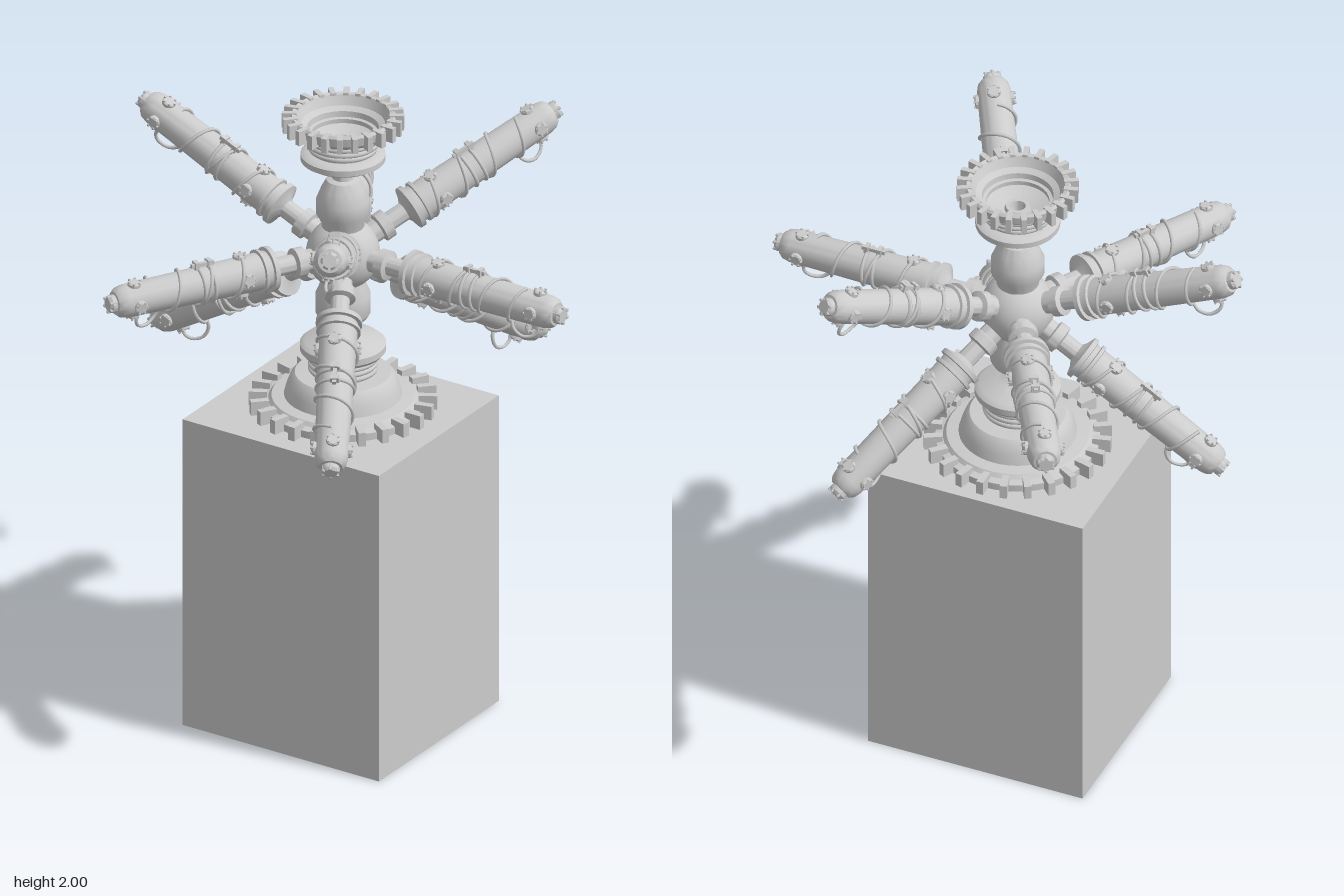
import * as THREE from 'three';
import { toCreasedNormals } from 'three/addons/utils/BufferGeometryUtils.js';

const grey = new THREE.MeshStandardMaterial({ color: 0xcccccc });
const thin = new THREE.MeshStandardMaterial({ color: 0xcccccc, side: THREE.DoubleSide });
const V = (x, y, z) => new THREE.Vector3(x, y, z);

function add(parent, name, geometry, x = 0, y = 0, z = 0, material = grey) {
  const mesh = new THREE.Mesh(geometry, material);
  mesh.name = name;
  mesh.position.set(x, y, z);
  parent.add(mesh);
  return mesh;
}

// Turned part from [radius, height] pairs
function turned(points, sides = 40) {
  const g = new THREE.LatheGeometry(points.map(([r, y]) => new THREE.Vector2(r, y)), sides);
  return toCreasedNormals(g, 0.6);
}

// Ring of radial teeth between two radii
function teeth(parent, name, count, r0, r1, y0, y1, width) {
  const g = new THREE.BoxGeometry(r1 - r0, y1 - y0, width).translate((r0 + r1) / 2, (y0 + y1) / 2, 0);
  for (let i = 0; i < count; i++) add(parent, name, g).rotation.y = (i / count) * Math.PI * 2;
}

// Flat-headed rivet pointing along +y, with small knobs around its rim
function makeRivet(radius, height) {
  const rivet = new THREE.Group();
  rivet.name = 'rivet';
  add(rivet, 'rivetHead', turned([[radius, -0.01], [radius, height * 0.6], [radius * 0.75, height], [0, height]], 14));
  const knob = new THREE.CylinderGeometry(radius * 0.18, radius * 0.18, height + 0.008, 6);
  for (let i = 0; i < 6; i++) {
    const a = (i / 6) * Math.PI * 2;
    add(rivet, 'rivetKnob', knob, Math.cos(a) * radius * 0.85, height * 0.4, Math.sin(a) * radius * 0.85);
  }
  return rivet;
}

// Arm radius at a distance along the arm
const armRadius = (s) => 0.059 - (s - 0.26) * 0.018;

// One arm lying along +x from the hub centre
function makeArm() {
  const arm = new THREE.Group();
  arm.name = 'arm';
  const body = turned([
    [0.034, 0.08], [0.034, 0.13], [0.046, 0.135], [0.046, 0.165], [0.029, 0.17], [0.029, 0.225],
    [0.045, 0.235], [0.07, 0.243], [0.07, 0.258], [0.059, 0.26], [0.058, 0.275], [0.067, 0.277],
    [0.067, 0.287], [0.058, 0.289], [0.051, 0.735], [0.046, 0.757], [0.036, 0.769], [0, 0.772],
  ], 28);
  add(arm, 'armBody', body).rotation.z = -Math.PI / 2;

  // Knobbed plug on the end
  const plug = makeRivet(0.028, 0.022);
  plug.name = 'endPlug';
  plug.position.x = 0.77;
  plug.rotation.z = -Math.PI / 2;
  arm.add(plug);

  // Rivets around the two ends of the body
  for (const [s, turn] of [[0.345, 0.12], [0.705, -0.1]]) {
    for (let i = 0; i < 4; i++) {
      const pivot = new THREE.Group();
      pivot.name = 'rivetMount';
      pivot.rotation.x = turn + (i * Math.PI) / 2;
      const rivet = makeRivet(0.021, 0.01);
      rivet.position.set(s, armRadius(s), 0);
      pivot.add(rivet);
      arm.add(pivot);
    }
  }

  // Cable wound around the body
  const coil = [];
  for (let i = 0; i <= 60; i++) {
    const t = i / 60, s = 0.29 + 0.37 * t, a = t * Math.PI * 7 - Math.PI / 2;
    const r = armRadius(s) + 0.005;
    coil.push(V(s, Math.sin(a) * r, Math.cos(a) * r));
  }
  add(arm, 'cableCoil', new THREE.TubeGeometry(new THREE.CatmullRomCurve3(coil), 120, 0.0055, 6));

  // Slack loop hanging near the tip
  const loop = new THREE.CatmullRomCurve3([
    V(0.61, -0.045, 0.01), V(0.625, -0.08, 0.018), V(0.655, -0.1, 0.012),
    V(0.688, -0.092, 0), V(0.7, -0.07, -0.008), V(0.695, -0.045, -0.01),
  ]);
  add(arm, 'cableLoop', new THREE.TubeGeometry(loop, 24, 0.0055, 6));

  // Twin straps joined by a clip on top
  for (const s of [0.455, 0.49]) {
    add(arm, 'strap', new THREE.TorusGeometry(armRadius(s) + 0.002, 0.006, 6, 28), s).rotation.y = Math.PI / 2;
  }
  add(arm, 'clip', new THREE.BoxGeometry(0.075, 0.012, 0.012), 0.473, 0.066, 0);
  for (const s of [0.452, 0.494]) add(arm, 'clipJaw', new THREE.BoxGeometry(0.014, 0.024, 0.026), s, 0.066, 0);
  return arm;
}

export function createModel() {
  const model = new THREE.Group();
  model.name = 'armedColumn';

  // Plinth
  add(model, 'plinth', new THREE.BoxGeometry(0.705, 1.022, 0.657), -0.022, 0.511, -0.008);

  const column = new THREE.Group();
  column.name = 'column';
  column.position.set(-0.022, 0, -0.021);
  model.add(column);

  // Toothed foot with bell, threaded neck and disc
  add(column, 'foot', turned([
    [0, 1.02], [0.248, 1.02], [0.248, 1.045], [0.225, 1.05], [0.215, 1.062], [0.178, 1.066], [0.17, 1.095],
    [0.158, 1.125], [0.145, 1.138], [0.095, 1.14], [0.095, 1.2], [0.12, 1.203], [0.13, 1.215],
    [0.13, 1.235], [0.115, 1.248], [0.06, 1.258], [0.033, 1.272], [0.03, 1.295], [0.04, 1.305],
    [0.075, 1.325], [0.083, 1.34], [0.083, 1.4], [0.07, 1.43], [0.06, 1.5],
  ], 48));
  teeth(column, 'footTooth', 24, 0.228, 0.284, 1.021, 1.067, 0.022);

  // Hub
  add(column, 'hub', new THREE.SphereGeometry(0.112, 32, 20), 0, 1.535, 0);

  // Upper stem, disc and neck opening into a hollow bowl
  add(column, 'stemAndBowl', turned([
    [0.06, 1.57], [0.065, 1.64], [0.081, 1.67], [0.081, 1.715], [0.065, 1.755], [0.05, 1.782], [0.033, 1.787],
    [0.03, 1.81], [0.05, 1.823], [0.108, 1.838], [0.128, 1.85], [0.128, 1.868], [0.115, 1.876],
    [0.095, 1.878], [0.095, 1.935], [0.13, 1.942], [0.155, 1.962], [0.16, 1.99], [0.154, 1.998],
    [0.142, 1.995], [0.127, 1.965], [0.108, 1.955], [0.104, 1.925], [0.08, 1.915], [0.04, 1.905],
    [0.036, 1.915], [0.024, 1.915], [0.018, 1.88], [0, 1.88],
  ], 48), 0, 0, 0, thin);
  teeth(column, 'bowlTooth', 24, 0.14, 0.184, 1.953, 2.0, 0.017);

  // Thread ridges on both necks
  for (const [r, y] of [[0.098, 1.153], [0.098, 1.17], [0.098, 1.187], [0.098, 1.89], [0.102, 1.907], [0.105, 1.925]]) {
    add(column, 'threadRidge', new THREE.TorusGeometry(r, 0.008, 8, 40), 0, y, 0).rotation.x = Math.PI / 2;
  }

  // Three level arms, with rising and falling arms between them
  for (const [tilt, offset] of [[0, 0], [24.2, 60], [-31, 60]]) {
    for (let i = 0; i < 3; i++) {
      const arm = makeArm();
      arm.position.y = 1.535;
      arm.rotation.order = 'YXZ';
      arm.rotation.y = THREE.MathUtils.degToRad(offset + i * 120);
      arm.rotation.z = THREE.MathUtils.degToRad(tilt);
      column.add(arm);
    }
  }
  return model;
}
